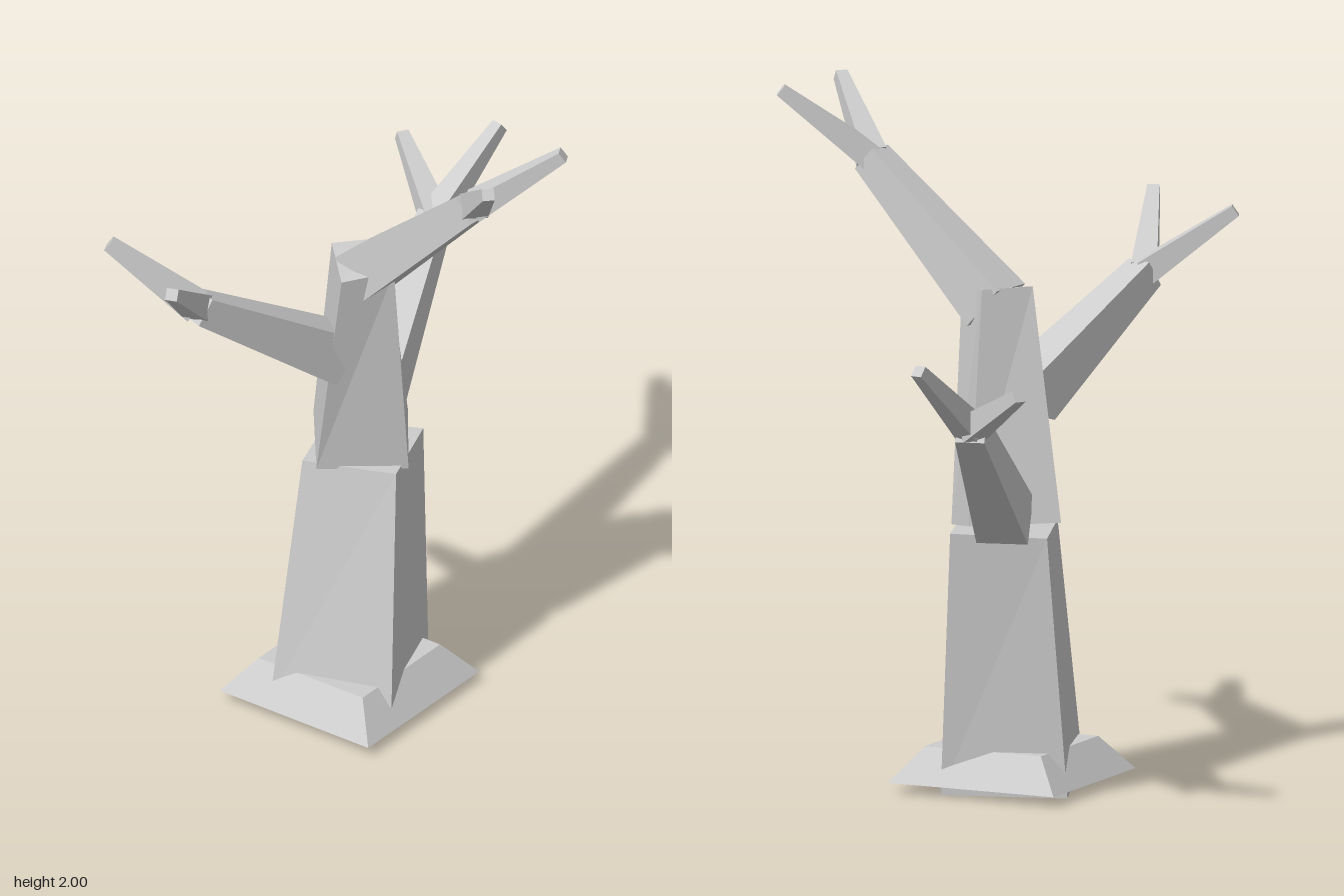
import * as THREE from 'three';

const bark = new THREE.MeshStandardMaterial({ color: 0xcccccc, flatShading: true });
bark.name = 'grey bark';

// Six-sided block from two rings of four corners, each counterclockwise from above
function block(name, b, t) {
  const quads = [[b[3], b[2], b[1], b[0]], t];
  for (let i = 0; i < 4; i++) {
    const j = (i + 1) % 4;
    quads.push([b[i], b[j], t[j], t[i]]);
  }
  const pos = [];
  for (const [p, q, r, s] of quads) pos.push(...p, ...q, ...r, ...p, ...r, ...s);
  const g = new THREE.BufferGeometry();
  g.setAttribute('position', new THREE.Float32BufferAttribute(pos, 3));
  g.computeVertexNormals();
  const mesh = new THREE.Mesh(g, bark);
  mesh.name = name;
  return mesh;
}

// Axis-aligned square ring
function square(cx, y, cz, h) {
  return [[cx - h, y, cz - h], [cx - h, y, cz + h], [cx + h, y, cz + h], [cx + h, y, cz - h]];
}

// Tapered square limb between two points, with its side faces kept upright
function limb(name, from, to, w0, w1) {
  const a = new THREE.Vector3(...from), c = new THREE.Vector3(...to);
  const d = c.clone().sub(a).normalize();
  const side = new THREE.Vector3(0, 1, 0).cross(d).normalize();
  const front = new THREE.Vector3().crossVectors(side, d);
  const ring = (p, w) => [[-1, -1], [-1, 1], [1, 1], [1, -1]].map(([u, v]) =>
    p.clone().addScaledVector(side, u * w / 2).addScaledVector(front, v * w / 2).toArray());
  return block(name, ring(a, w0), ring(c, w1));
}

// Branch that forks into two twigs
function branch(name, from, to, ends) {
  const group = new THREE.Group();
  group.name = name;
  group.add(limb('limb', from, to, 0.15, 0.085));
  ends.forEach((end, i) => group.add(limb('twig' + (i + 1), to, end, 0.075, 0.035)));
  return group;
}

export function createModel() {
  const tree = new THREE.Group();
  tree.name = 'bareTree';

  // Flared root block
  tree.add(block('rootBase', square(-0.115, 0.03, -0.125, 0.265), square(-0.115, 0.13, -0.125, 0.185)));

  // Two trunk sections: corners run left, front, right, back
  tree.add(block('lowerTrunk',
    [[-0.34, 0.04, -0.24], [-0.23, 0.04, 0.11], [0.11, 0, -0.01], [0, 0, -0.36]],
    [[-0.2, 0.77, -0.23], [-0.1, 0.77, 0.03], [0.15, 0.77, -0.06], [0.05, 0.76, -0.32]]));
  tree.add(block('upperTrunk',
    [[-0.2, 0.76, -0.18], [-0.04, 0.76, 0.03], [0.17, 0.8, -0.13], [0, 0.8, -0.34]],
    [[-0.22, 1.43, -0.075], [-0.11, 1.45, 0.03], [0.015, 1.46, -0.095], [-0.1, 1.46, -0.2]]));

  // Three forked branches
  tree.add(branch('frontBranch', [-0.085, 1.4, -0.09], [-0.13, 1.79, 0.33],
    [[-0.315, 1.985, 0.52], [-0.01, 1.985, 0.56]]));
  tree.add(branch('leftBranch', [0.08, 0.81, -0.2], [0.58, 1.165, -0.34],
    [[0.83, 1.37, -0.295], [0.715, 1.3, -0.56]]));
  tree.add(branch('rightBranch', [-0.14, 1.13, -0.16], [-0.58, 1.435, -0.32],
    [[-0.83, 1.63, -0.225], [-0.69, 1.615, -0.555]]));
  return tree;
}
